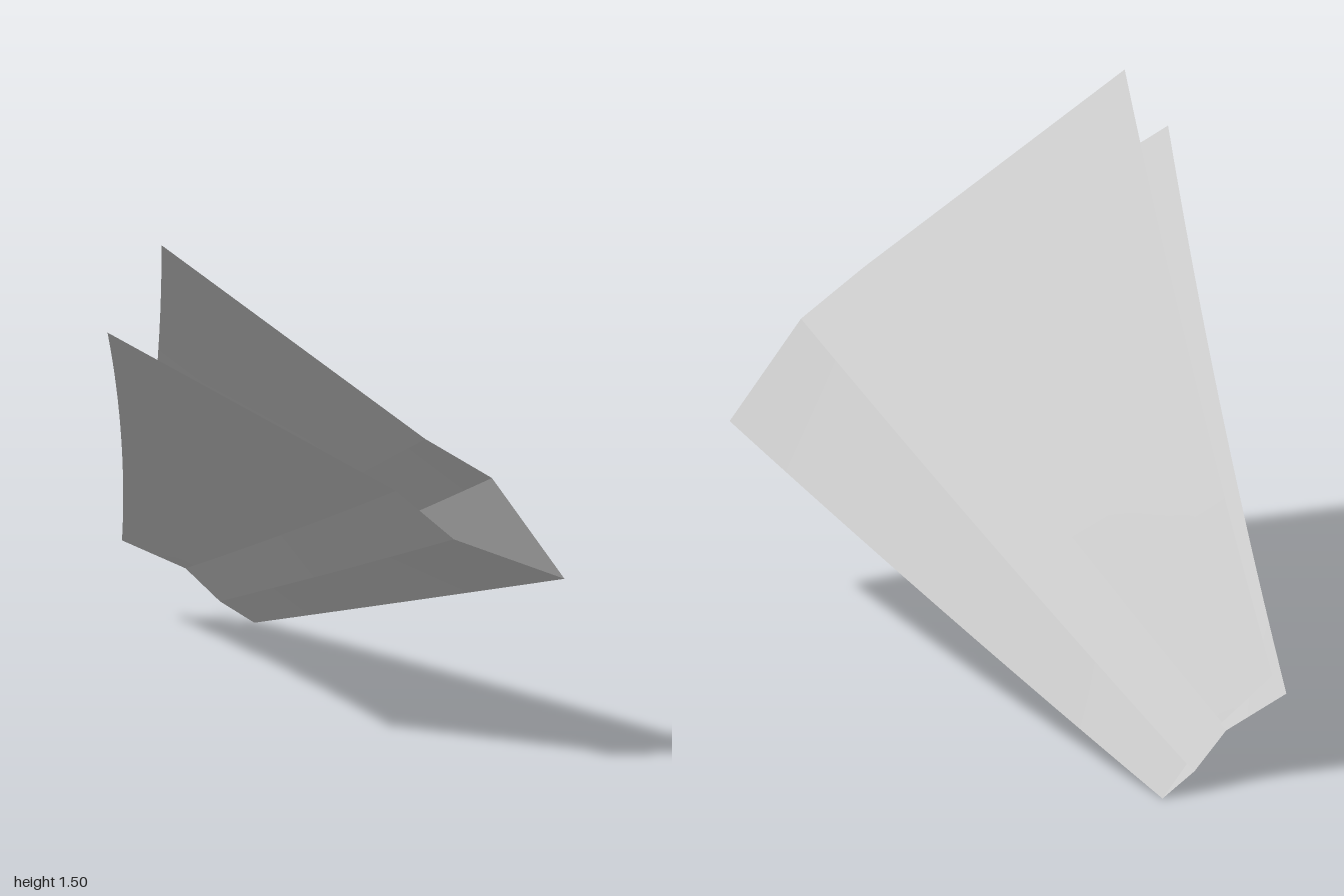
import * as THREE from 'three';

// Each sheet is defined by its folds: front point, back point, sideways bow
const KEEL = [[0.605, 0.57, 1.0], [0.355, 0, -0.935], 0.012];
const SHEETS = {
  upperSheet: [
    [[-0.43, 1.5, 0.66], [0.05, 0.32, -1.0], 0.016],
    [[0.235, 0.97, 0.92], [0.175, 0.19, -0.943], 0.012],
    [[0.42, 0.85, 0.935], [0.285, 0.09, -0.945], 0.012],
    KEEL,
  ],
  lowerSheet: [
    [[-0.61, 1.29, 0.74], [-0.01, 0.25, -0.97], 0.018],
    [[0.135, 0.845, 0.97], [0.162, 0.165, -0.943], 0.018],
    [[0.29, 0.705, 1.0], [0.26, 0.065, -0.943], 0.014],
    KEEL,
  ],
};
const PANELS = ['wing', 'foldStrip', 'keelPanel'];

// Point along a fold, bowed slightly towards +x
function foldPoint([front, back, bow], t) {
  const p = new THREE.Vector3(...front).lerp(new THREE.Vector3(...back), t);
  p.x += bow * 4 * t * (1 - t);
  return p;
}

// Ruled panel between two neighbouring folds
function panelGeometry(a, b, across, along) {
  const geo = new THREE.PlaneGeometry(1, 1, across, along);
  const pos = geo.attributes.position;
  for (let i = 0; i < pos.count; i++) {
    const u = pos.getX(i) + 0.5;
    const t = pos.getY(i) + 0.5;
    const p = foldPoint(a, t).lerp(foldPoint(b, t), u);
    pos.setXYZ(i, p.x, p.y, p.z);
  }
  geo.computeVertexNormals();
  return geo;
}

export function createModel() {
  const model = new THREE.Group();
  model.name = 'paperPlane';
  const paper = new THREE.MeshStandardMaterial({ color: 0xc8c8c8, side: THREE.DoubleSide });
  paper.name = 'paper';

  // Two folded sheets that share the keel
  for (const [name, folds] of Object.entries(SHEETS)) {
    const sheet = new THREE.Group();
    sheet.name = name;
    PANELS.forEach((panel, i) => {
      const mesh = new THREE.Mesh(panelGeometry(folds[i], folds[i + 1], i === 0 ? 4 : 1, 12), paper);
      mesh.name = panel;
      sheet.add(mesh);
    });
    model.add(sheet);
  }
  return model;
}
